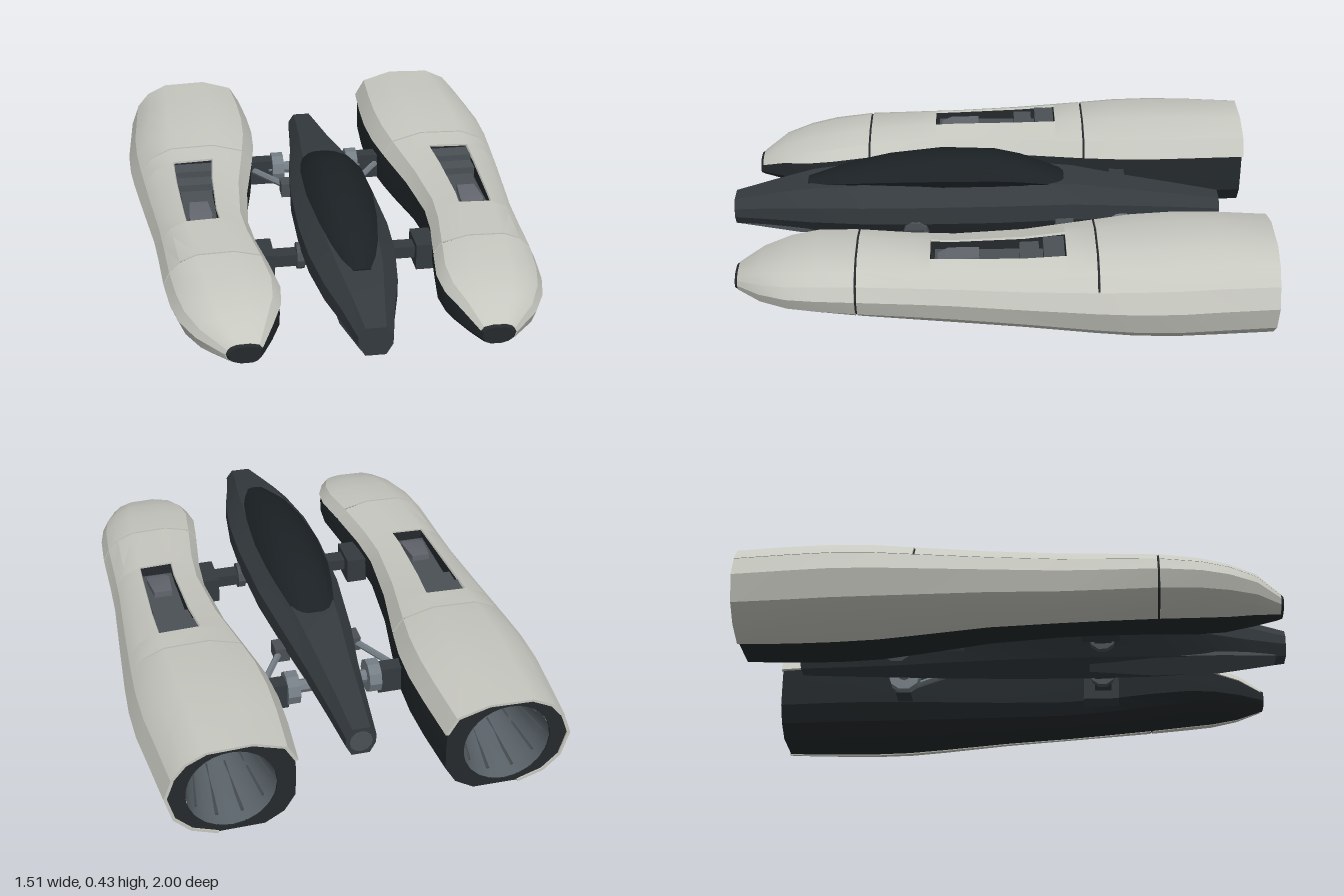
import * as THREE from 'three';
import { toCreasedNormals } from 'three/addons/utils/BufferGeometryUtils.js';

const mat = (color, side = THREE.FrontSide) => new THREE.MeshStandardMaterial({ color, side });
const LIGHT = mat(0xc6c7bf), DARK = mat(0x24292c, THREE.DoubleSide), HULL = mat(0x343a3e);
const GLASS = mat(0x1b2124), STEEL = mat(0x4a5055), STRUT = mat(0x747e85);
const BORE = mat(0x596268, THREE.DoubleSide);

// Pod stations: z, inner x, outer x, bottom y, top y
const POD = [
  [0.95, 0.38, 0.495, 0.135, 0.2], [0.935, 0.37, 0.51, 0.13, 0.21], [0.85, 0.325, 0.595, 0.113, 0.262],
  [0.75, 0.285, 0.645, 0.1, 0.292], [0.65, 0.275, 0.668, 0.094, 0.312], [0.5, 0.295, 0.682, 0.085, 0.327],
  [0.3, 0.325, 0.688, 0.073, 0.33], [0.15, 0.335, 0.695, 0.064, 0.332], [-0.1, 0.312, 0.72, 0.05, 0.34],
  [-0.36, 0.265, 0.745, 0.025, 0.36], [-0.5, 0.243, 0.755, 0.013, 0.373], [-0.65, 0.235, 0.755, 0.008, 0.38],
  [-0.8, 0.24, 0.742, 0.008, 0.382], [-1, 0.255, 0.725, 0.012, 0.377],
];
// Pod section as (u, v) in -1..1, clockwise seen from the front
const SHELL = [[-0.98, 0.45], [-0.82, 0.8], [-0.33, 0.99], [0.36, 0.96], [0.68, 0.76], [0.88, 0.45],
  [1, 0.03], [0.88, -0.5], [0.62, -0.82], [0.22, -1]];
const bodySection = (open) => [[-0.97, 0.45], [-0.82, 0.8], [-0.34, 0.97], [-0.33, open ? 0.6 : 0.97],
  [0.36, open ? 0.6 : 0.94], [0.37, 0.94], [0.68, 0.76], [0.86, 0.45], [0.97, 0.03], [0.86, -0.5],
  [0.61, -0.81], [0.22, -1], [-0.5, -0.99], [-0.8, -0.76], [-0.97, -0.4], [-0.98, 0.1]]
  .map(([u, v]) => [u * 0.97, v * 0.97]);

function station(table, z) {
  let i = 0;
  while (i < table.length - 2 && table[i + 1][0] > z) i++;
  const t = (table[i][0] - z) / (table[i][0] - table[i + 1][0]);
  return table[i].map((a, k) => a + (table[i + 1][k] - a) * t);
}
function ring(table, z, section) {
  const [, x0, x1, y0, y1] = station(table, z);
  return section.map(([u, v]) => new THREE.Vector3((x0 + x1 + u * (x1 - x0)) / 2, (y0 + y1 + v * (y1 - y0)) / 2, z));
}

// Skin a list of rings running front to back
function loft(rings, frontCap = true, backCap = true) {
  const n = rings[0].length, index = [];
  for (let i = 0; i < rings.length - 1; i++) for (let j = 0; j < n; j++) {
    const a = i * n + j, b = i * n + (j + 1) % n;
    index.push(a, b, b + n, a, b + n, a + n);
  }
  const cap = (r, off, sign) => {
    const p = r.map((v) => new THREE.Vector2(v.x, v.y));
    for (const [a, b, c] of THREE.ShapeUtils.triangulateShape(p.slice(), [])) {
      const ccw = THREE.ShapeUtils.area([p[a], p[b], p[c]]) * sign > 0;
      index.push(off + a, off + (ccw ? b : c), off + (ccw ? c : b));
    }
  };
  if (frontCap) cap(rings[0], 0, 1);
  if (backCap) cap(rings.at(-1), (rings.length - 1) * n, -1);
  const g = new THREE.BufferGeometry().setFromPoints(rings.flat());
  g.setIndex(index);
  return g;
}
const zList = (table, z0, z1, extra = []) =>
  [...new Set([z0, ...table.map((s) => s[0]), ...extra, z1])].filter((z) => z <= z0 && z >= z1).sort((a, b) => b - a);

function add(group, name, geo, material) {
  const flat = geo.index ? geo.toNonIndexed() : geo;
  const mesh = new THREE.Mesh(toCreasedNormals(flat, 0.45), material);
  mesh.name = name;
  group.add(mesh);
}
function box(x0, x1, y0, y1, z0, z1) {
  return new THREE.BoxGeometry(x1 - x0, y1 - y0, z1 - z0).translate((x0 + x1) / 2, (y0 + y1) / 2, (z0 + z1) / 2);
}
function rod(a, b, r, sides = 8) {
  const d = b.clone().sub(a);
  const q = new THREE.Quaternion().setFromUnitVectors(new THREE.Vector3(0, 1, 0), d.clone().normalize());
  return new THREE.CylinderGeometry(r, r, d.length(), sides).applyQuaternion(q).translate(...a.clone().add(b).multiplyScalar(0.5));
}
const V = (x, y, z) => new THREE.Vector3(x, y, z);

// One side: pod, nozzle and struts
function buildSide() {
  const side = new THREE.Group();
  // Dark core with a sunken bay on top
  const bay = [0.235, -0.25];
  const zs = zList(POD, 0.95, -0.99, [0.236, 0.235, -0.25, -0.251]);
  add(side, 'podCore', loft(zs.map((z) => ring(POD, z, bodySection(z <= bay[0] && z >= bay[1]))), true, false), DARK);

  // Pale shell panels with narrow gaps
  const panel = (name, z0, z1, i0, i1, k = 1) => {
    const outer = SHELL.slice(i0, i1 + 1).map(([u, v]) => [u * k, v * k]);
    const inner = outer.map(([u, v]) => [u * 0.95, v * 0.95]).reverse();
    add(side, name, loft(zList(POD, z0, z1).map((z) => ring(POD, z, [...outer, ...inner]))), LIGHT);
  };
  panel('nosePanel', 0.94, 0.504, 0, 5);
  panel('bayFrontPanel', 0.496, bay[0], 0, 5);
  panel('bayInnerPanel', bay[0], bay[1], 0, 2);
  panel('bayOuterPanel', bay[0], bay[1], 3, 5);
  panel('bayRearPanel', bay[1], -0.356, 0, 5);
  panel('tailPanel', -0.364, -1, 0, 5);
  panel('noseSidePanel', 0.94, 0.504, 5, 9, 0.992);
  panel('sidePanel', 0.496, -1, 5, 9, 0.992);

  // Bay fittings
  add(side, 'bayFloor', box(0.455, 0.575, 0.24, 0.292, -0.24, 0.22), STEEL);
  add(side, 'bayCover', box(0.44, 0.59, 0.27, 0.335, -0.245, -0.17), STEEL);
  add(side, 'bayBar', box(0.44, 0.585, 0.27, 0.318, -0.155, -0.085), STEEL);
  const hatch = [[0.21, 0.485, 0.55, 0.28, 0.296], [0.17, 0.472, 0.56, 0.28, 0.31], [0.06, 0.482, 0.55, 0.28, 0.316]];
  add(side, 'bayHatch', loft(hatch.map((s) => ring(hatch, s[0], [[-1, -1], [-1, 1], [1, 1], [1, -1]]))), mat(0x62656c));

  // Rear rim, bore and its ribs
  const cx = 0.49, cy = 0.193;
  const rim = new THREE.Shape(ring(POD, -1, bodySection(false)).map((p) => new THREE.Vector2(p.x, p.y)).reverse());
  rim.holes.push(new THREE.Path().absarc(cx, cy, 0.158, 0, Math.PI * 2, true));
  add(side, 'nozzleRim', new THREE.ExtrudeGeometry(rim, { depth: 0.012, bevelEnabled: false, curveSegments: 16 })
    .translate(0, 0, -0.994), DARK);
  const bore = [[0, 0.32], [0.1, 0.32], [0.115, 0.2], [0.145, 0.06], [0.158, 0]].map(([r, d]) => new THREE.Vector2(r, d));
  add(side, 'nozzleBore', new THREE.LatheGeometry(bore, 20).rotateX(Math.PI / 2).translate(cx, cy, -0.99), BORE);
  for (let i = 0; i < 10; i++) {
    const a = i / 10 * Math.PI * 2, at = (r, z) => V(cx + r * Math.cos(a), cy + r * Math.sin(a), z);
    add(side, 'nozzleRib', rod(at(0.146, -0.95), at(0.108, -0.72), 0.006, 4), STEEL);
  }

  // Front strut
  add(side, 'frontStrutBar', box(0.13, 0.36, 0.16, 0.205, 0.27, 0.335), HULL);
  add(side, 'frontStrutBlock', box(0.265, 0.345, 0.125, 0.225, 0.225, 0.365), HULL);
  add(side, 'frontStrutCollar', rod(V(0.15, 0.185, 0.3), V(0.178, 0.185, 0.3), 0.05, 10), STEEL);

  // Rear strut with its brace
  add(side, 'rearStrutBlock', box(0.17, 0.3, 0.125, 0.225, -0.52, -0.46), HULL);
  add(side, 'rearStrutHub', rod(V(0.13, 0.185, -0.483), V(0.176, 0.185, -0.483), 0.063, 10), STRUT);
  add(side, 'rearStrutAxle', rod(V(0.06, 0.185, -0.483), V(0.19, 0.185, -0.483), 0.025), STRUT);
  add(side, 'rearBrace', rod(V(0.25, 0.19, -0.45), V(0.14, 0.2, -0.27), 0.013, 6), STRUT);
  add(side, 'braceBracket', box(0.11, 0.165, 0.17, 0.225, -0.3, -0.23), STEEL);
  return side;
}

// Mirror across x and turn the triangles over
function mirrored(source) {
  const out = new THREE.Group();
  for (const m of source.children) {
    const p = m.geometry.attributes.position, pts = [];
    for (let i = 0; i < p.count; i += 3)
      for (const k of [0, 2, 1]) pts.push(V(-p.getX(i + k), p.getY(i + k), p.getZ(i + k)));
    add(out, m.name, new THREE.BufferGeometry().setFromPoints(pts), m.material);
  }
  return out;
}

// Symmetric body from rows of z, half width, bottom, top
function centreLoft(rows, section) {
  const table = rows.map(([z, w, y0, y1]) => [z, -w, w, y0, y1]);
  return loft(table.map((s) => ring(table, s[0], section)));
}

export function createModel() {
  const model = new THREE.Group();
  model.name = 'twinPodCraft';

  const fuselage = new THREE.Group();
  fuselage.name = 'fuselage';
  add(fuselage, 'hull', centreLoft([
    [1, 0.06, 0.158, 0.263], [0.85, 0.092, 0.148, 0.3], [0.7, 0.13, 0.143, 0.332], [0.5, 0.157, 0.14, 0.352],
    [0.3, 0.165, 0.14, 0.36], [0, 0.157, 0.14, 0.36], [-0.3, 0.125, 0.14, 0.345], [-0.5, 0.095, 0.14, 0.312],
    [-0.7, 0.072, 0.142, 0.282], [-0.865, 0.055, 0.145, 0.255],
  ], [[-1, -0.25], [-1, 0.4], [-0.6, 1], [0.6, 1], [1, 0.4], [1, -0.25], [0.6, -1], [-0.6, -1]]), HULL);
  add(fuselage, 'canopy', centreLoft([
    [0.715, 0.04, 0.31, 0.335], [0.55, 0.085, 0.32, 0.387], [0.4, 0.108, 0.32, 0.42], [0.2, 0.124, 0.32, 0.442],
    [0, 0.118, 0.32, 0.437], [-0.1, 0.105, 0.32, 0.415], [-0.2, 0.085, 0.32, 0.375], [-0.265, 0.07, 0.32, 0.348],
  ], [[-0.75, -1], [-1, 0.05], [-0.75, 0.6], [-0.35, 0.97], [0, 1], [0.35, 0.97], [0.75, 0.6], [1, 0.05], [0.75, -1]]), GLASS);
  add(fuselage, 'chinPlate', centreLoft([
    [0.96, 0.045, 0.148, 0.17], [0.75, 0.085, 0.134, 0.16], [0.5, 0.09, 0.13, 0.16], [0.25, 0.05, 0.136, 0.16],
  ], [[-1, -0.2], [-1, 1], [1, 1], [1, -0.2], [0.5, -1], [-0.5, -1]]), STEEL);
  add(fuselage, 'tailCap', rod(V(0, 0.2, -0.868), V(0, 0.2, -0.85), 0.042, 12), STEEL);
  model.add(fuselage);

  const left = buildSide(), right = mirrored(left);
  left.name = 'leftPod';
  right.name = 'rightPod';
  model.add(left, right);
  return model;
}
